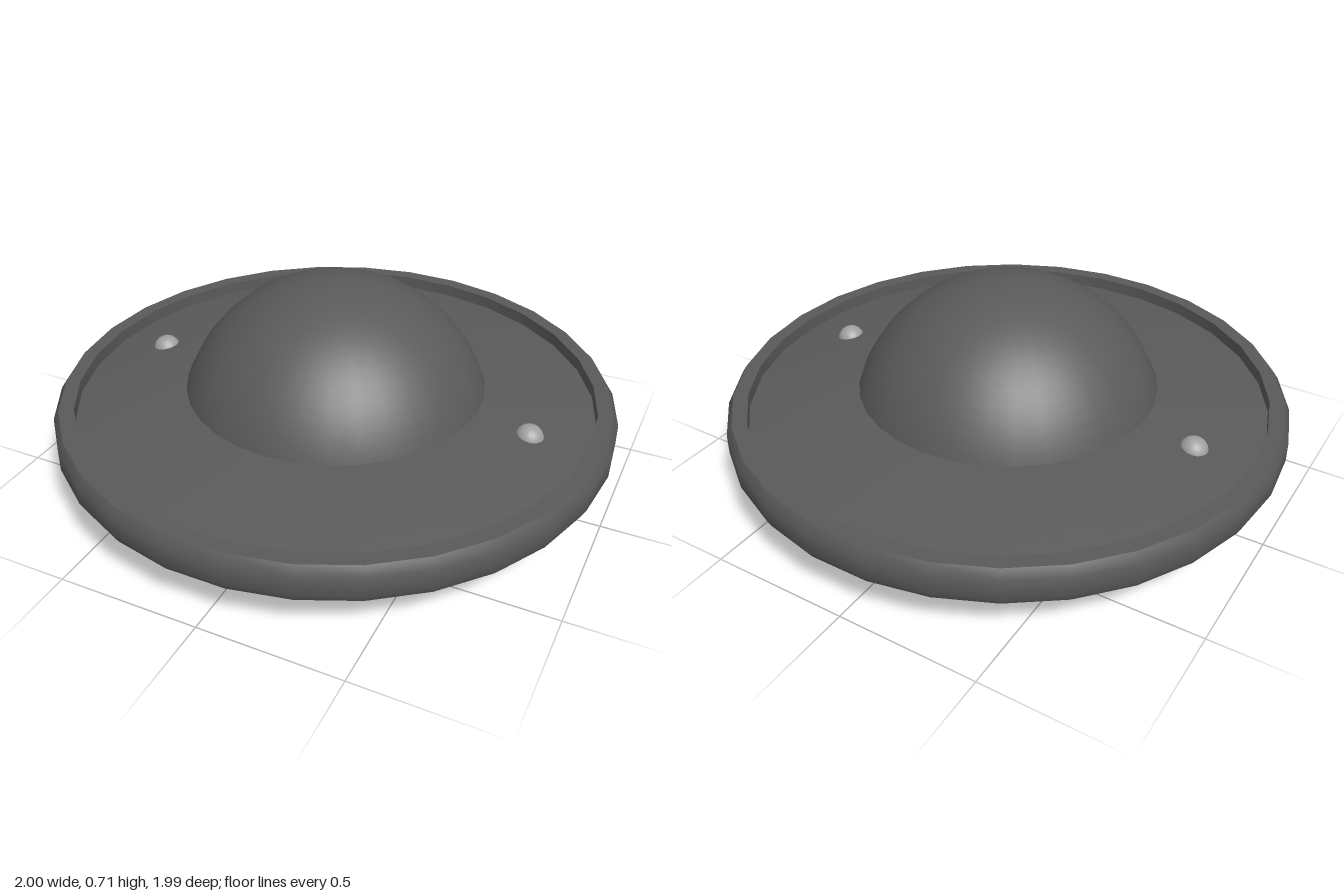
import * as THREE from 'three';
import { toCreasedNormals } from 'three/addons/utils/BufferGeometryUtils.js';
import { ConvexGeometry } from 'three/addons/geometries/ConvexGeometry.js';

const darkGrey = new THREE.MeshStandardMaterial({ color: 0x5a5a5a });
const lightGrey = new THREE.MeshStandardMaterial({ color: 0xa0a0a0 });

function addMesh(group, name, geometry, material = darkGrey) {
  const mesh = new THREE.Mesh(geometry, material);
  mesh.name = name;
  group.add(mesh);
  return mesh;
}

// Turned part with sharp profile corners and a smooth circumference
function turned(profile, sides) {
  const points = profile.map(([r, y]) => new THREE.Vector2(r, y));
  return toCreasedNormals(new THREE.LatheGeometry(points, sides, Math.PI / 2), 0.75);
}

// Faceted solid around [x, y, halfDepth] stations, symmetric in z
function faceted(stations) {
  return new ConvexGeometry(stations.flatMap(([x, y, half]) => [
    new THREE.Vector3(x, y, half), new THREE.Vector3(x, y, -half),
  ]));
}

export function createModel() {
  const model = new THREE.Group();
  model.name = 'domedDisc';

  // Cone plate, hollowed below, with a raised rim
  addMesh(model, 'rimmedPlate', turned([
    [0, 0.32], [0.43, 0.315], [0.89, 0.18], [0.985, 0.18], [1, 0.21], [1, 0.28],
    [0.98, 0.311], [0.928, 0.311], [0.928, 0.265], [0.53, 0.335], [0, 0.335],
  ], 30));

  // Dome: a spherical cap rising from the plate
  const radius = 0.566;
  const dome = addMesh(model, 'dome',
    new THREE.SphereGeometry(radius, 32, 14, 0, Math.PI * 2, 0, 1.25));
  dome.position.y = 0.715 - radius;

  // Grip under the plate: a bar between two splayed legs
  const handle = new THREE.Group();
  handle.name = 'handle';
  model.add(handle);
  addMesh(handle, 'handleBar', faceted([
    [-0.42, 0, 0.07], [0.42, 0, 0.07], [0.375, 0.055, 0.075], [-0.375, 0.055, 0.075],
  ]));

  for (const side of [-1, 1]) {
    const prefix = side > 0 ? 'left' : 'right';
    addMesh(handle, prefix + 'HandleLeg', faceted([
      [side * 0.42, 0, 0.07], [side * 0.87, 0.18, 0.165], [side * 0.433, 0.317, 0.09],
      [side * 0.375, 0.26, 0.08], [side * 0.375, 0.055, 0.075],
    ]));

    // Round studs on either side of the dome
    const stud = addMesh(model, prefix + 'Stud', new THREE.SphereGeometry(0.05, 20, 14), lightGrey);
    stud.position.set(side * 0.722, 0.285, 0);
  }

  return model;
}
